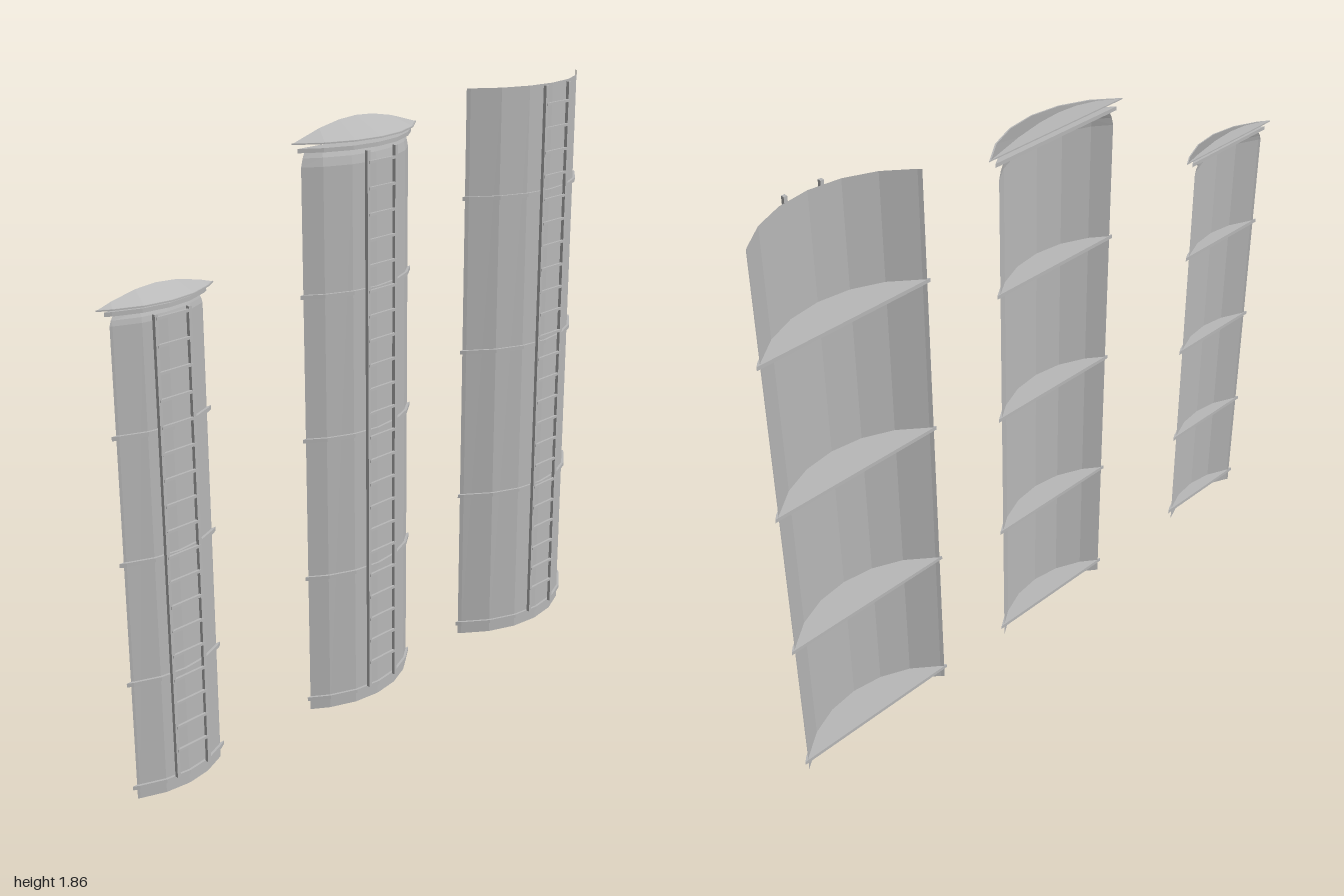
import * as THREE from 'three';

const STEP = Math.PI / 12;  // facet angle of the round towers
const CUT = 0.256;          // distance from tower axis to the flat back
const BACK = -0.072;        // z of the flat back
const AXIS = BACK - CUT;    // z of the tower axes

const steel = new THREE.MeshStandardMaterial({ color: 0xb8b8b8, side: THREE.DoubleSide });
steel.name = 'grey steel';
steel.flatShading = true;

// facet angles from left edge to right edge of the part in front of the back plane
function angles(radius) {
  const end = Math.acos(CUT / radius);
  const list = [-end];
  for (let k = -5; k <= 5; k++) if (Math.abs(k * STEP) < end - 0.01) list.push(k * STEP);
  list.push(end);
  return list;
}

// one cross-section of points at height y
function arc(radius, y, count = angles(radius)) {
  const limit = Math.acos(CUT / radius);
  return count.map(a => {
    const t = THREE.MathUtils.clamp(a, -limit, limit);
    return [radius * Math.sin(t), y, AXIS + radius * Math.cos(t)];
  });
}

// faceted skin between successive rows of points
function loft(rows) {
  const pos = [];
  for (let r = 0; r < rows.length - 1; r++) {
    for (let i = 0; i < rows[r].length - 1; i++) {
      const a = rows[r][i], b = rows[r][i + 1], c = rows[r + 1][i + 1], d = rows[r + 1][i];
      pos.push(...a, ...b, ...c, ...a, ...c, ...d);
    }
  }
  const g = new THREE.BufferGeometry();
  g.setAttribute('position', new THREE.Float32BufferAttribute(pos, 3));
  g.computeVertexNormals();
  return g;
}

function add(parent, name, geometry, x = 0, y = 0, z = 0) {
  const mesh = new THREE.Mesh(geometry, steel);
  mesh.name = name;
  mesh.position.set(x, y, z);
  parent.add(mesh);
  return mesh;
}

// solid plate with a curved front and a flat back
function plate(radius, thickness) {
  const shape = new THREE.Shape(arc(radius, 0).map(p => new THREE.Vector2(p[0], -p[2])));
  const g = new THREE.ExtrudeGeometry(shape, { depth: thickness, bevelEnabled: false });
  return g.rotateX(-Math.PI / 2).translate(0, -thickness / 2, 0);
}

// shallow conical roof cut by the back plane, with a flat underside
function addRoof(parent, radius, y, height) {
  const list = angles(radius);
  const ridge = list.map(a => {
    const r = CUT / Math.cos(a);
    return [r * Math.sin(a), y + height * (radius - r) / (radius - CUT), BACK];
  });
  add(parent, 'roof', loft([arc(radius, y), ridge]));
  add(parent, 'roofUnderside', plate(radius, 0.004), 0, y, 0);
}

function addLadder(parent, front, top) {
  const ladder = new THREE.Group();
  ladder.name = 'ladder';
  const bottom = 0.055, z = front + 0.019;
  for (const side of [-1, 1]) {
    add(ladder, 'ladderRail', new THREE.BoxGeometry(0.011, top - bottom, 0.011),
      side * 0.057, (top + bottom) / 2, z);
  }
  for (let y = 0.14; y < top - 0.004; y += 0.0755) {
    add(ladder, 'ladderRung', new THREE.BoxGeometry(0.114, 0.008, 0.008), 0, y, z + 0.003);
  }
  parent.add(ladder);
}

const TOWERS = [
  { name: 'smallTower', x: -0.797, radius: 0.3, shoulder: 1.41, top: 1.44, neck: 0.293,
    bands: [0.04, 0.372, 0.738, 1.105, 1.445], ladder: 1.435, roof: [0.323, 1.46, 0.037] },
  { name: 'mediumTower', x: -0.045, radius: 0.3375, shoulder: 1.72, top: 1.77, neck: 0.326,
    bands: [0.04, 0.456, 0.905, 1.346, 1.768], ladder: 1.76, roof: [0.361, 1.79, 0.05] },
  { name: 'largeTower', x: 0.712, radius: 0.3745, top: 1.86,
    bands: [0.04, 0.513, 1.016, 1.519], ladder: 1.86 },
];

export function createModel() {
  const model = new THREE.Group();
  model.name = 'towers';
  for (const t of TOWERS) {
    const tower = new THREE.Group();
    tower.name = t.name;
    tower.position.x = t.x;

    // curved wall, drawn in at the shoulder where there is a roof
    const list = angles(t.radius);
    const rows = [arc(t.radius, 0, list), arc(t.radius, t.shoulder ?? t.top, list)];
    if (t.neck) {
      rows.push(arc(t.radius + (t.neck - t.radius) * 0.35, (t.shoulder + t.top) / 2, list));
      rows.push(arc(t.neck, t.top, list));
    }
    add(tower, 'wall', loft(rows));

    // hoops and floors
    for (const y of t.bands) add(tower, 'band', plate(t.radius + 0.008, 0.012), 0, y, 0);
    addLadder(tower, AXIS + t.radius, t.ladder);
    if (t.roof) addRoof(tower, ...t.roof);
    model.add(tower);
  }
  return model;
}
